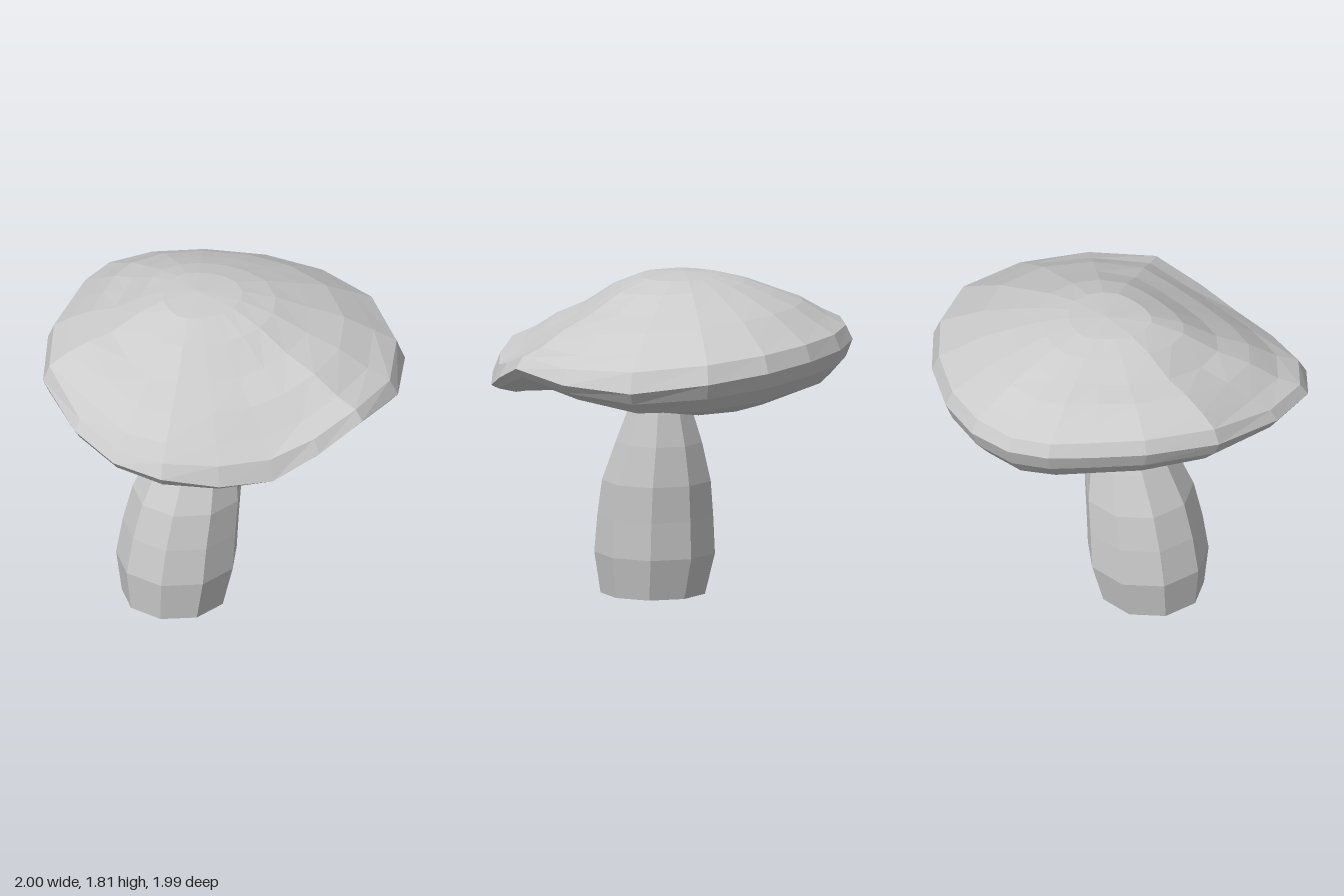
import * as THREE from 'three';

const mix = THREE.MathUtils.lerp;

// Closed solid from rings of [x, y, z], listed bottom to top, each counter-clockwise from above.
function loft(name, rings, bottom, top) {
  const n = rings[0].length;
  const points = [...rings.flat(), bottom, top];
  const b = points.length - 2, t = points.length - 1;
  const last = (rings.length - 1) * n;
  const index = [];
  for (let j = 0; j < n; j++) {
    const k = (j + 1) % n;
    index.push(b, k, j, t, last + j, last + k);
    for (let i = 0; i < last; i += n) {
      index.push(i + j, i + k, i + n + k, i + j, i + n + k, i + n + j);
    }
  }
  const indexed = new THREE.BufferGeometry();
  indexed.setAttribute('position', new THREE.Float32BufferAttribute(points.flat(), 3));
  indexed.setIndex(index);
  const geometry = indexed.toNonIndexed();
  geometry.computeVertexNormals();
  const material = new THREE.MeshStandardMaterial({ color: 0xcccccc, flatShading: true });
  const mesh = new THREE.Mesh(geometry, material);
  mesh.name = name;
  return mesh;
}

// Nine-sided leaning stem, swollen near the foot.
function createStem() {
  // centre x, y, centre z, radius
  const sections = [
    [-0.275, 0, 0.12, 0.29],
    [-0.26, 0.23, 0.105, 0.335],
    [-0.235, 0.44, 0.095, 0.322],
    [-0.2, 0.64, 0.08, 0.302],
    [-0.155, 0.86, 0.055, 0.24],
    [-0.12, 1.05, 0.04, 0.176],
    [-0.09, 1.28, 0.035, 0.165],
  ];
  const rings = sections.map(([x, y, z, r]) =>
    Array.from({ length: 9 }, (_, i) => {
      const a = ((i + 0.5) / 9) * Math.PI * 2;
      return [x + r * Math.sin(a), y, z + r * Math.cos(a)];
    }));
  return loft('stem', rings, [-0.275, 0, 0.12], [-0.09, 1.28, 0.035]);
}

// Lopsided cap: every spoke runs from under the centre, around the rim and up to the crown.
function createCap() {
  // rim x, rim z, then heights: rim, mid slope, shoulder, outer underside, inner underside
  const spokes = [
    [1, -0.08, 1.32, 1.67, 1.51, 1.19, 1.15],
    [0.93, 0.32, 1.34, 1.65, 1.48, 1.24, 1.18],
    [0.71, 0.64, 1.38, 1.63, 1.48, 1.28, 1.2],
    [0.46, 0.8, 1.28, 1.6, 1.41, 1.2, 1.19],
    [0.2, 0.91, 1.19, 1.58, 1.38, 1.15, 1.18],
    [-0.1, 0.98, 1.21, 1.58, 1.39, 1.14, 1.17],
    [-0.42, 0.99, 1.28, 1.59, 1.41, 1.17, 1.17],
    [-0.67, 0.88, 1.33, 1.6, 1.43, 1.23, 1.19],
    [-0.86, 0.6, 1.37, 1.61, 1.47, 1.26, 1.2],
    [-1, 0.18, 1.44, 1.66, 1.58, 1.28, 1.21],
    [-0.94, -0.23, 1.46, 1.67, 1.59, 1.28, 1.2],
    [-0.82, -0.5, 1.45, 1.68, 1.58, 1.27, 1.19],
    [-0.72, -0.72, 1.45, 1.69, 1.57, 1.26, 1.18],
    [-0.57, -0.89, 1.45, 1.7, 1.57, 1.25, 1.17],
    [-0.32, -0.99, 1.44, 1.71, 1.57, 1.25, 1.16],
    [-0.02, -1, 1.43, 1.71, 1.57, 1.24, 1.15],
    [0.32, -0.92, 1.42, 1.71, 1.57, 1.24, 1.14],
    [0.63, -0.76, 1.4, 1.7, 1.56, 1.22, 1.13],
    [0.89, -0.49, 1.37, 1.69, 1.54, 1.2, 1.13],
  ].reverse();
  const crown = [-0.14, 1.81, -0.08];
  // reach from the centre to the rim, and the height there
  const levels = [
    [0.35, (s) => mix(1.18, s[6], 0.5)],
    [0.62, (s) => s[6]],
    [0.87, (s) => s[5]],
    [0.96, (s) => mix(s[5], s[2], 0.5)],
    [1, (s) => s[2]],
    [0.96, (s) => mix(s[2], s[4], 0.6)],
    [0.85, (s) => s[4]],
    [0.71, (s) => mix(s[3], s[4], 0.5) + 0.01],
    [0.55, (s) => s[3]],
    [0.38, (s) => mix(s[3], crown[1], 0.55)],
    [0.22, (s) => mix(s[3], crown[1], 0.88)],
  ];
  const rings = levels.map(([reach, height]) =>
    spokes.map((s) => [mix(crown[0], s[0], reach), height(s), mix(crown[2], s[1], reach)]));
  return loft('cap', rings, [-0.1, 1.19, 0], crown);
}

export function createModel() {
  const group = new THREE.Group();
  group.name = 'mushroom';
  group.add(createStem(), createCap());
  return group;
}
